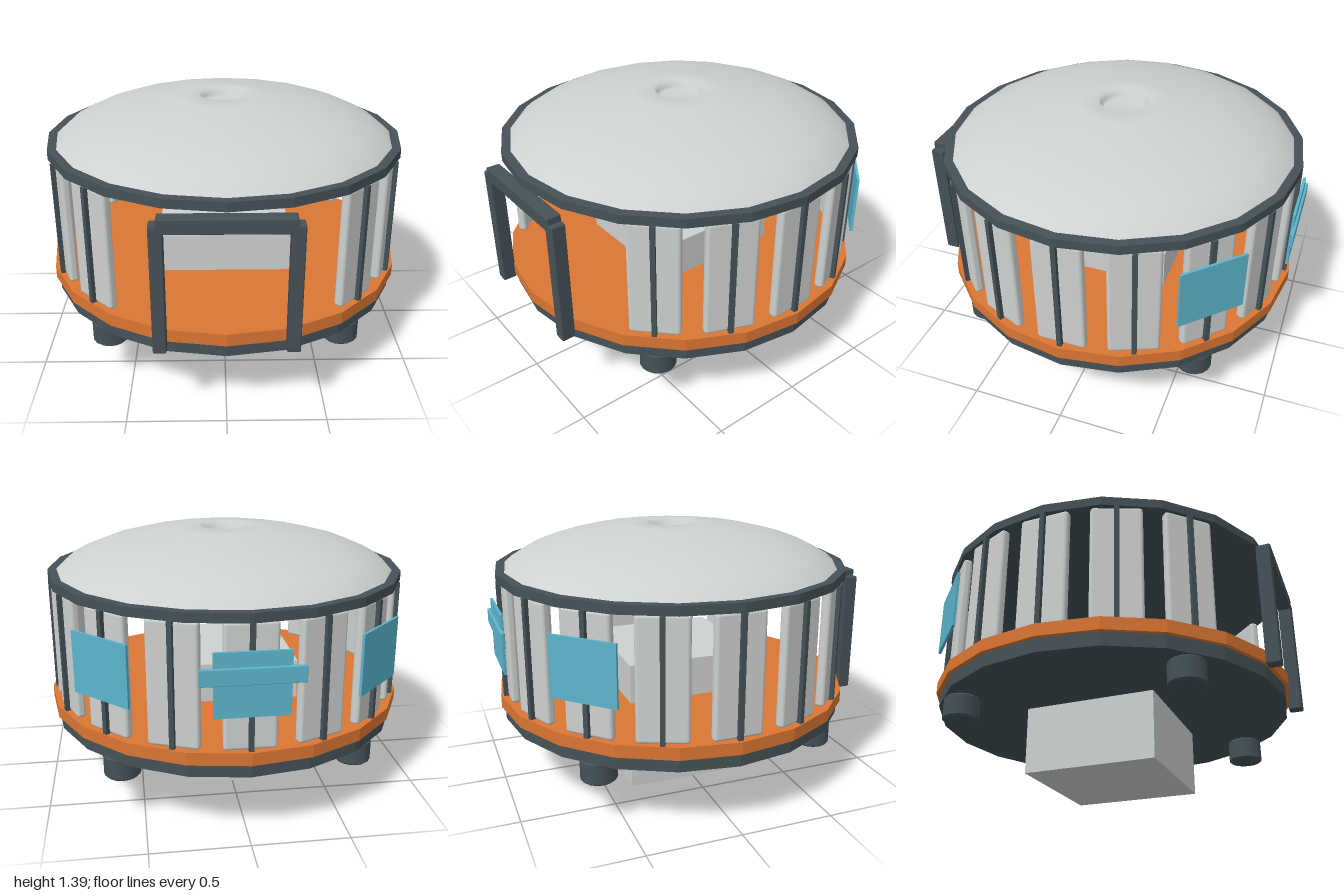
import * as THREE from 'three';
import { toCreasedNormals } from 'three/addons/utils/BufferGeometryUtils.js';
import { RoundedBoxGeometry } from 'three/addons/geometries/RoundedBoxGeometry.js';

const mat = (name, color) => {
  const m = new THREE.MeshStandardMaterial({ color });
  m.name = name;
  return m;
};

export function createModel() {
  const grey = mat('paleGrey', 0xcdd1cf);
  const dark = mat('darkSlate', 0x455257);
  const orange = mat('orange', 0xdb7633);
  const blue = mat('blue', 0x5cb5cd);

  const model = new THREE.Group();
  const pavilion = new THREE.Group();
  pavilion.name = 'pavilion';
  pavilion.position.z = -0.006;
  model.add(pavilion);

  const add = (parent, name, geometry, material, x = 0, y = 0, z = 0) => {
    const mesh = new THREE.Mesh(geometry, material);
    mesh.name = name;
    mesh.position.set(x, y, z);
    parent.add(mesh);
    return mesh;
  };
  // A group turned about the axis, so that its +z points outwards
  const spoke = (name, angle) => {
    const g = new THREE.Group();
    g.name = name;
    g.rotation.y = angle;
    pavilion.add(g);
    return g;
  };
  // Twenty-sided slab between two heights
  const slab = (name, r, y0, y1, material) =>
    add(pavilion, name, toCreasedNormals(new THREE.CylinderGeometry(r, r, y1 - y0, 20), 0.2),
      material, 0, (y0 + y1) / 2);

  // Slabs and central block
  slab('base', 0.963, 0.358, 0.429, dark);
  slab('floor', 0.984, 0.429, 0.495, orange);
  slab('roofRim', 0.968, 1.126, 1.174, dark);
  add(pavilion, 'centralBlock', new THREE.BoxGeometry(0.71, 0.708, 0.71), grey, 0, 0.354);

  // Domed roof with a sunken round vent
  const profile = [[0, 1.345], [0.108, 1.345], [0.122, 1.36], [0.135, 1.393], [0.25, 1.384],
    [0.5, 1.347], [0.675, 1.303], [0.8, 1.255], [0.88, 1.21], [0.925, 1.17]];
  const domePoints = profile.map(([r, y]) => new THREE.Vector2(r, y)).reverse();
  add(pavilion, 'domeRoof', new THREE.LatheGeometry(domePoints, 20), grey);

  // Feet with bevelled ends
  const footPoints = [[0, 0.232], [0.085, 0.232], [0.095, 0.242], [0.095, 0.348], [0.085, 0.358]]
    .map(([r, y]) => new THREE.Vector2(r, y));
  const footGeometry = toCreasedNormals(new THREE.LatheGeometry(footPoints, 16), 0.6);
  for (const x of [-0.607, 0.607])
    for (const z of [-0.607, 0.607]) add(pavilion, 'foot', footGeometry, dark, x, 0, z);

  // Wall panels, each with a slim post; three bays stay open at the front
  const panelGeometry = new RoundedBoxGeometry(0.26, 0.635, 0.05, 2, 0.018);
  const postGeometry = new THREE.BoxGeometry(0.025, 0.635, 0.03);
  for (let i = 2; i <= 14; i++) {
    const bay = spoke('wallBay', (i * Math.PI) / 8);
    add(bay, 'wallPanel', panelGeometry, grey, 0, 0.81, 0.92);
    add(bay, 'wallPost', postGeometry, dark, 0, 0.81, 0.953);
  }

  // Blue screens on the rear bays, the middle one with a crossbar
  const screenGeometry = new THREE.BoxGeometry(0.365, 0.32, 0.014);
  for (const i of [6, 8, 10]) {
    const bay = spoke('screenBay', (i * Math.PI) / 8);
    add(bay, 'screen', screenGeometry, blue, 0, 0.84, 0.974);
    if (i === 8) add(bay, 'screenBar', new RoundedBoxGeometry(0.5, 0.084, 0.022, 1, 0.005), blue, 0, 0.884, 0.983);
  }

  // Door frame
  const frame = new THREE.Group();
  frame.name = 'doorFrame';
  frame.position.z = 0.963;
  model.add(frame);
  const jamb = new RoundedBoxGeometry(0.066, 0.67, 0.074, 1, 0.007);
  for (const x of [-0.32, 0.32]) add(frame, 'doorJamb', jamb, dark, x, 0.74, 0);
  add(frame, 'doorLintel', new RoundedBoxGeometry(0.635, 0.077, 0.074, 1, 0.007), dark, 0, 1.071, 0);

  return model;
}
